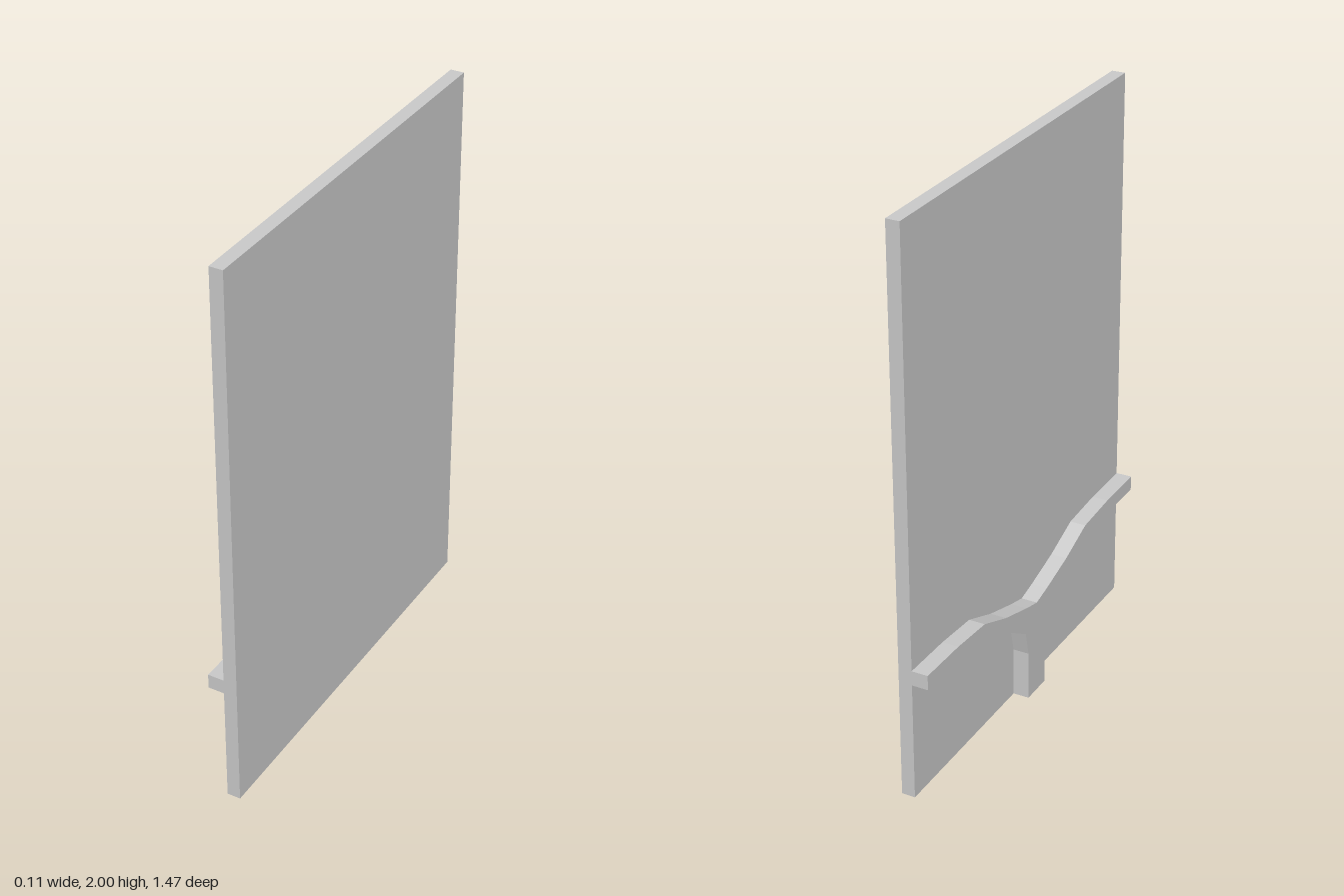
import * as THREE from 'three';

const material = new THREE.MeshStandardMaterial({ color: 0xcccccc, flatShading: true });
const HALF_DEPTH = 0.735;

// Mirrors a half outline (running from the centre outwards) across the middle
const mirror = (points) => points.map(([u, y]) => [-u, y]).reverse();

export function createModel() {
  const group = new THREE.Group();

  // Tall thin board
  const panel = new THREE.Mesh(new THREE.BoxGeometry(0.048, 2, HALF_DEPTH * 2), material);
  panel.name = 'panel';
  panel.position.set(0.029, 1, 0);
  group.add(panel);

  // Branching support: a stem that spreads into two arched arms
  const underside = [
    [0.06, 0], [0.06, 0.18], [0.08, 0.27], [0.21, 0.35],
    [0.365, 0.412], [0.54, 0.43], [HALF_DEPTH, 0.432],
  ];
  const topside = [
    [0.075, 0.37], [0.22, 0.412], [0.365, 0.469], [0.54, 0.482], [HALF_DEPTH, 0.485],
  ];
  const outline = [
    ...underside,
    ...topside.slice().reverse(),
    [0, 0.352],
    ...mirror(topside).reverse(),
    ...mirror(underside),
  ];
  const shape = new THREE.Shape(outline.map(([u, y]) => new THREE.Vector2(u, y)));
  const geometry = new THREE.ExtrudeGeometry(shape, { depth: 0.061, bevelEnabled: false });
  geometry.rotateY(-Math.PI / 2); // outline runs along z, thickness towards -x
  const support = new THREE.Mesh(geometry, material);
  support.name = 'branchingSupport';
  support.position.x = 0.008;
  group.add(support);

  return group;
}
